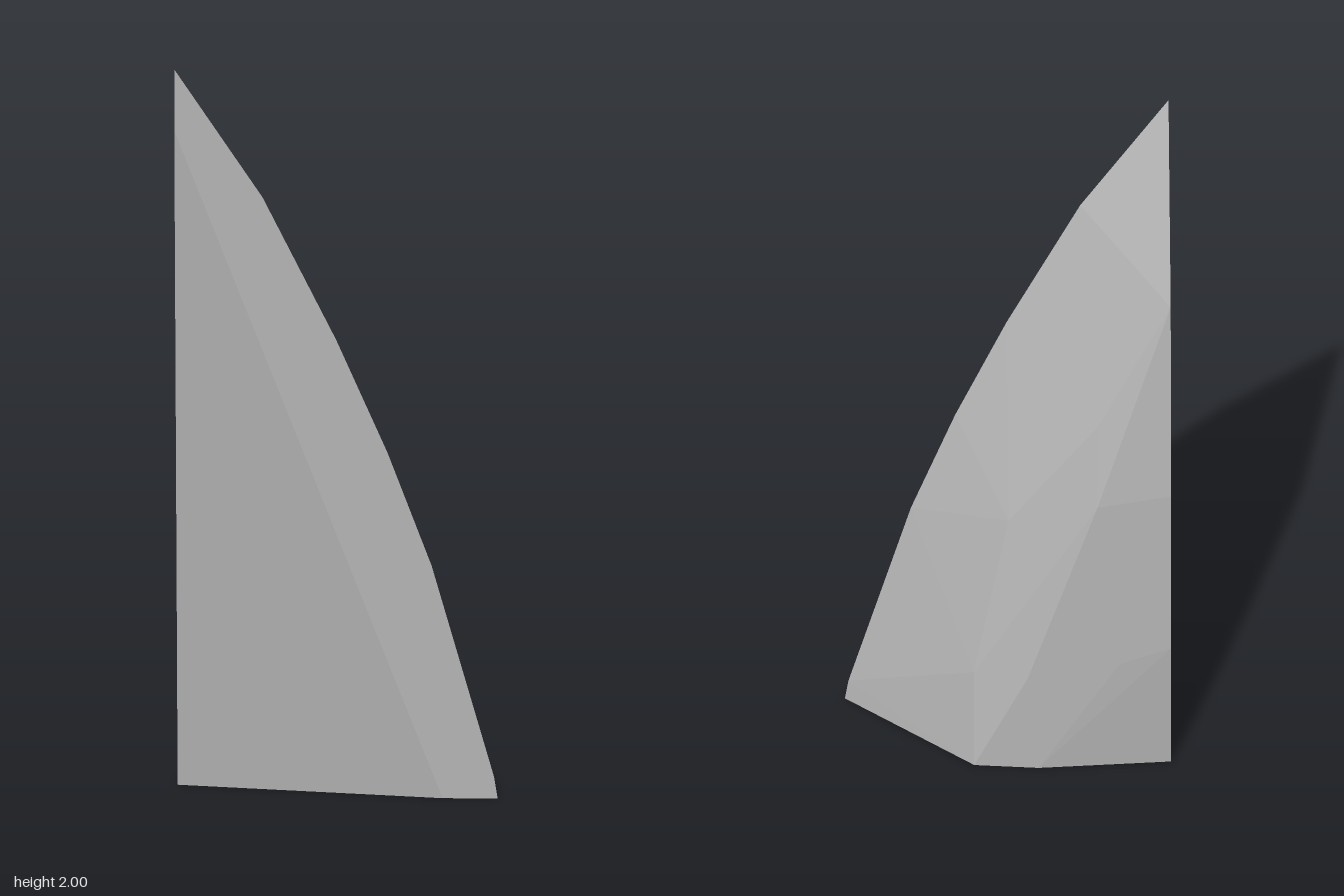
import * as THREE from 'three';
import { ConvexGeometry } from 'three/addons/geometries/ConvexGeometry.js';

export function createModel() {
  const group = new THREE.Group();
  group.name = 'stoneShard';
  const stone = new THREE.MeshStandardMaterial({ color: 0xb4b4b4 });
  stone.name = 'greyStone';
  const point = (p) => new THREE.Vector3(...p);

  // Curved rim lying in the front plane
  const rim = [
    [-0.44, 2], [-0.2, 1.65], [0, 1.26], [0.14, 0.95], [0.26, 0.64], [0.43, 0.06], [0.44, 0],
  ].map(([x, y]) => point([x, y, 0.168]));

  // Sloping cut that takes away the lower corner of the front
  const cut = [[-0.44, 1.83, 0.168], [0.29, 0, 0.168], [-0.44, 0, -0.035]].map(point);

  // Edge of the flat left-hand break
  const breakEdge = [
    [-0.44, 1.505, -0.11], [-0.44, 0.905, -0.16], [-0.44, 0.4, -0.168], [-0.44, 0, -0.142],
  ].map(point);

  // Ridge between the slanted flank and the back
  const ridge = [
    [-0.24, 1.1, -0.106], [0, 0.75, -0.05], [0.095, 0.28, -0.102], [0.095, 0, -0.147],
  ].map(point);

  // Shallow facets of the back
  const back = [[-0.24, 0.87, -0.16], [-0.3, 0.35, -0.17], [-0.05, 0.3, -0.163], [-0.08, 0, -0.164]].map(point);

  // One faceted convex body
  const shard = new THREE.Mesh(new ConvexGeometry([...rim, ...cut, ...breakEdge, ...ridge, ...back]), stone);
  shard.name = 'shard';
  group.add(shard);
  return group;
}
